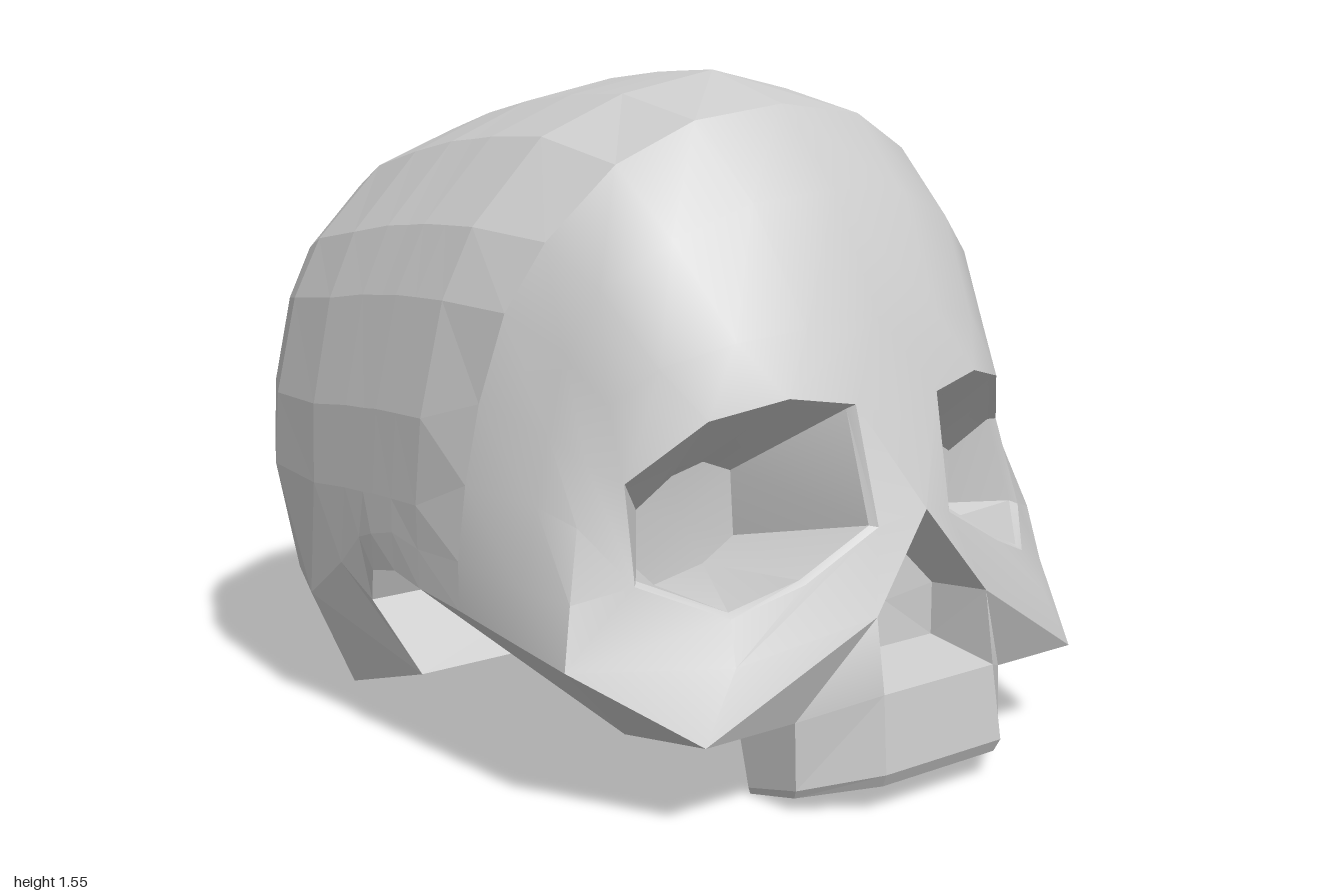
import * as THREE from 'three';
import { toCreasedNormals } from 'three/addons/utils/BufferGeometryUtils.js';

const material = new THREE.MeshStandardMaterial({ color: 0xcccccc, side: THREE.DoubleSide });

// Collects strips on the +x half and mirrors every triangle to -x.
function part(name, crease, build) {
  const pos = [];
  const tri = (a, b, c) => {
    const n = new THREE.Vector3().subVectors(new THREE.Vector3(...b), new THREE.Vector3(...a))
      .cross(new THREE.Vector3().subVectors(new THREE.Vector3(...c), new THREE.Vector3(...a)));
    if (n.length() < 1e-7) return;
    pos.push(...a, ...b, ...c);
    for (const p of [a, c, b]) pos.push(-p[0], p[1], p[2]);
  };
  // Joins two equally long rows of points.
  const bridge = (a, b) => {
    for (let i = 0; i < a.length - 1; i++) {
      tri(a[i], b[i], b[i + 1]);
      tri(a[i], b[i + 1], a[i + 1]);
    }
  };
  build(bridge);
  let geo = new THREE.BufferGeometry();
  geo.setAttribute('position', new THREE.Float32BufferAttribute(pos, 3));
  geo.computeVertexNormals();
  if (crease) geo = toCreasedNormals(geo, crease);
  const mesh = new THREE.Mesh(geo, material);
  mesh.name = name;
  return mesh;
}

const fill = (p, n) => Array.from({ length: n }, () => p);
const mid = (p) => [0, p[1], p[2]];

// Half cross-section of the braincase, from crown down to its widest point.
const unit = [[0, 1], [0.33, 0.966], [0.61, 0.905], [0.84, 0.775], [0.93, 0.667],
  [0.995, 0.49], [1, 0.354]];

// zTop and zSide shear a section; wall, corner and a flat floor close it below.
function section(zTop, zSide, w, top, bottom, wall, corner) {
  const arc = unit.map(([x, y], j) =>
    [x * w, bottom + (top - bottom) * y, zTop + (zSide - zTop) * j / 6]);
  return [...arc, wall, corner, mid(corner)];
}

export function createModel() {
  const group = new THREE.Group();
  group.name = 'skull';

  // Braincase sections, back to front; the last five pass over the jaw notch
  const rings = [
    fill([0, 0.66, -1], 10),
    section(-0.96, -0.955, 0.25, 1.04, 0.46, [0.22, 0.55, -0.955], [0.14, 0.48, -0.965]),
    section(-0.84, -0.86, 0.47, 1.22, 0.32, [0.42, 0.44, -0.85], [0.27, 0.35, -0.89]),
    section(-0.69, -0.74, 0.64, 1.35, 0.2, [0.56, 0.36, -0.74], [0.36, 0.23, -0.77]),
    section(-0.5, -0.58, 0.73, 1.43, 0.115, [0.66, 0.3, -0.6], [0.41, 0.12, -0.59]),
    section(-0.32, -0.34, 0.765, 1.485, 0.08, [0.745, 0.29, -0.4], [0.69, 0.08, -0.3]),
    section(-0.16, -0.2, 0.765, 1.52, 0.08, [0.755, 0.4, -0.24], [0.69, 0.17, 0]),
    section(-0.07, -0.12, 0.765, 1.53, 0.08, [0.76, 0.48, -0.15], [0.74, 0.33, -0.13]),
    section(0.02, -0.08, 0.765, 1.54, 0.08, [0.765, 0.5, -0.09], [0.755, 0.41, -0.1]),
    section(0.11, 0, 0.765, 1.545, 0.08, [0.765, 0.52, 0], [0.76, 0.43, 0]),
    section(0.22, 0.1, 0.765, 1.55, 0.08, [0.762, 0.5, 0.1], [0.76, 0.41, 0.1]),
  ];
  const notchFront = rings[10][8];

  // Forehead and temple loops, from midline to cheek
  const hairline = [[0, 1.48, 0.46], [0.25, 1.45, 0.45], [0.44, 1.36, 0.41], [0.6, 1.2, 0.37],
    [0.68, 1.05, 0.33], [0.715, 0.85, 0.28], [0.74, 0.67, 0.26], [0.755, 0.5, 0.25], [0.755, 0.39, 0.25]];
  const forehead = [[0, 1.3, 0.63], [0.23, 1.28, 0.62], [0.42, 1.21, 0.575], [0.56, 1.11, 0.51],
    [0.61, 0.96, 0.45], [0.65, 0.8, 0.44], [0.69, 0.65, 0.45], [0.735, 0.48, 0.45], [0.75, 0.36, 0.45]];
  const brow = [[0, 1.03, 0.77], [0.2, 1.02, 0.76], [0.36, 1, 0.715], [0.5, 0.95, 0.63],
    [0.58, 0.87, 0.56], [0.625, 0.75, 0.54], [0.665, 0.62, 0.56], [0.715, 0.47, 0.6], [0.745, 0.335, 0.62]];

  // Eye opening, clockwise from its inner top corner, with a thin inset lip
  const rim = [[0.125, 0.86, 0.835], [0.285, 0.885, 0.8], [0.445, 0.845, 0.725], [0.578, 0.71, 0.61],
    [0.598, 0.505, 0.67], [0.455, 0.44, 0.81], [0.3, 0.5, 0.87], [0.11, 0.6, 0.895]];
  const lip = rim.map(([x, y, z]) => [x + (0.36 - x) * 0.06, y + (0.66 - y) * 0.05, z - 0.015]);
  const socket = [[0.22, 0.68], [0.3, 0.71], [0.39, 0.69], [0.49, 0.63],
    [0.49, 0.5], [0.44, 0.455], [0.3, 0.48], [0.21, 0.53]].map(([x, y]) => [x, y, 0.54]);

  // Nose, cheek and jaw landmarks
  const bridgeTop = [0, 0.63, 0.93], glabella = [0, 0.82, 0.85];
  const noseSide = [0.17, 0.425, 0.955], noseFoot = [0.17, 0.26, 0.98];
  const cheekEdge = [0.48, 0.35, 0.855], cheekTip = [0.57, 0.2, 0.865];
  const cheekBack = [0.57, 0.16, 0.6], jawSide = [0.32, 0.2, 0.865], jawBack = [0.32, 0.16, 0.6];
  const cheekSide = brow[8];

  group.add(part('cranium', 0, (bridge) => {
    for (let i = 0; i < rings.length - 1; i++) bridge(rings[i], rings[i + 1]);
    bridge(rings[10].slice(0, 9), hairline);
  }));

  group.add(part('face', 0.55, (bridge) => {
    bridge(hairline, forehead);
    bridge(forehead, brow);
    // Surround of the eye opening
    const [a, b, c, d, e, f, g, h] = rim;
    bridge([bridgeTop, glabella, ...brow, cheekEdge, cheekEdge, noseSide, bridgeTop],
      [h, a, a, b, b, c, d, d, e, e, e, f, g, h, h]);
    // Cheekbone down to the jaw
    bridge([cheekTip, cheekTip, jawSide, noseFoot], [cheekSide, cheekEdge, noseSide, noseSide]);
  }));

  group.add(part('eyeSockets', 0.5, (bridge) => {
    const loops = [rim, lip, socket].map((l) => [...l, l[0]]);
    bridge(loops[0], loops[1]);
    bridge(loops[1], loops[2]);
    bridge(loops[2], fill([0.35, 0.58, 0.53], 9));
  }));

  group.add(part('nasalCavity', 0, (bridge) => {
    const inner = [[0, 0.56, 0.8], [0.14, 0.42, 0.82], [0.14, 0.3, 0.82], [0, 0.3, 0.82]];
    bridge([bridgeTop, noseSide, noseFoot, mid(noseFoot)], inner);
    bridge(inner, fill([0, 0.4, 0.81], 4));
  }));

  group.add(part('skullBase', 0, (bridge) => {
    // Sloping panel towards the palate
    const panel = [notchFront, cheekBack];
    bridge(panel.map(mid), panel);
    // Undersides of the cheekbones
    bridge(fill(cheekBack, 5), [notchFront, hairline[8], forehead[8], cheekSide, cheekTip]);
    bridge([jawBack, jawSide], [cheekBack, cheekTip]);
    bridge([jawBack, jawSide].map(mid), [jawBack, jawSide]);
  }));

  group.add(part('upperJaw', 0, (bridge) => {
    const top = [mid(noseFoot), noseFoot, jawSide, [0.32, 0.165, 0.68]];
    const upper = [[0, 0.09, 1], [0.18, 0.09, 1], [0.32, 0.05, 0.87], [0.32, 0.015, 0.72]];
    const lower = [[0, 0.06, 0.985], [0.175, 0.06, 0.985], [0.315, 0.03, 0.86], [0.315, 0, 0.72]];
    const inner = [[0, 0.06, 0.94], [0.155, 0.06, 0.94], [0.28, 0.03, 0.84], [0.28, 0, 0.72]];
    const roof = [[0, 0.21, 0.92], [0.15, 0.21, 0.92], [0.28, 0.195, 0.83], [0.28, 0.165, 0.68]];
    const loops = [top, upper, lower, inner, roof];
    for (let i = 0; i < 4; i++) bridge(loops[i], loops[i + 1]);
    // Back ends of the tooth row
    bridge([roof[3], inner[3], inner[3]], [top[3], upper[3], lower[3]]);
  }));

  // Low ridge across the back of the palate
  const ridge = new THREE.Mesh(new THREE.BoxGeometry(0.56, 0.08, 0.06), material);
  ridge.name = 'palateRidge';
  ridge.position.set(0, 0.135, 0.665);
  ridge.rotation.x = 0.2;
  group.add(ridge);

  return group;
}
